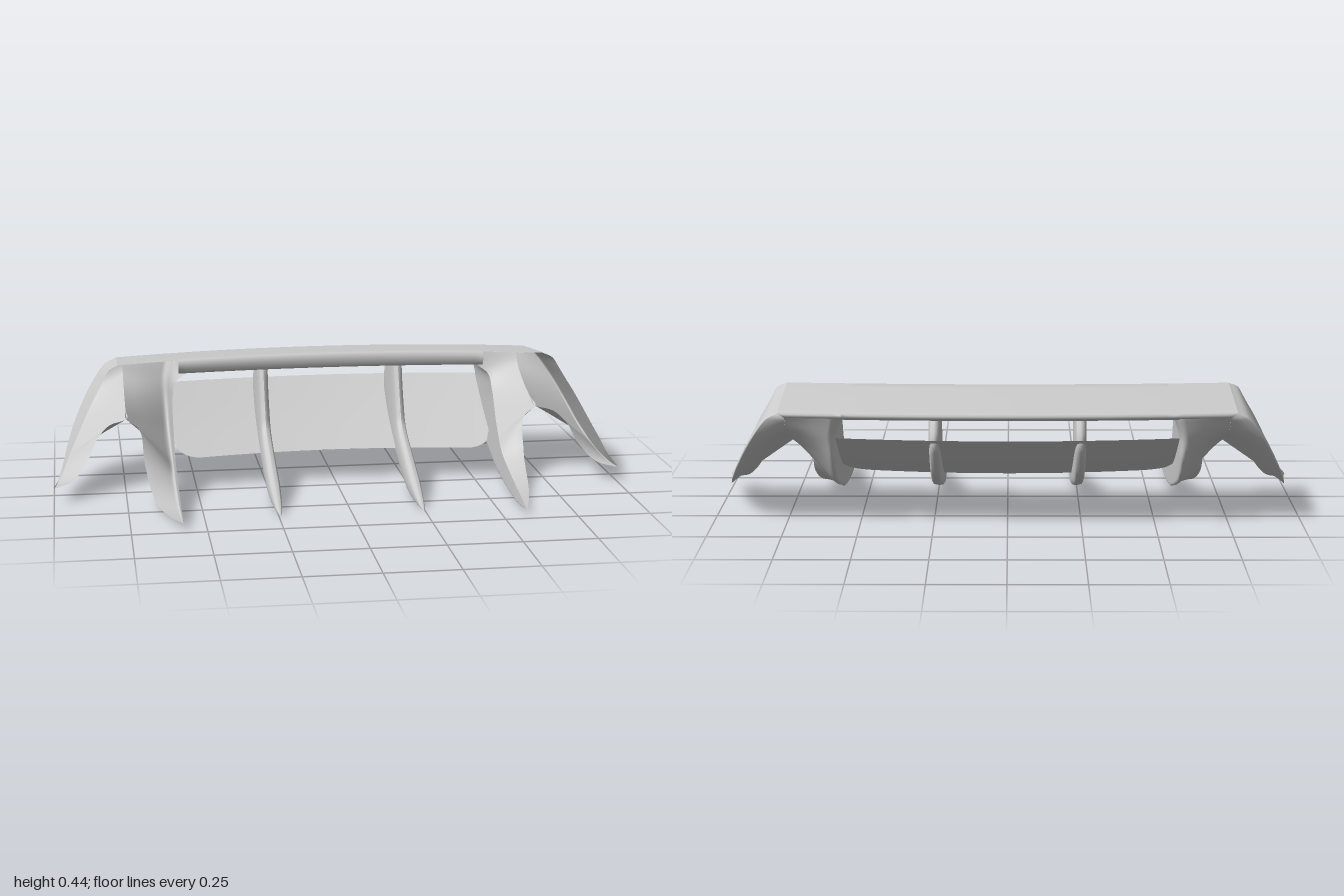
import * as THREE from 'three';

const material = new THREE.MeshStandardMaterial({ color: 0xcccccc, side: THREE.DoubleSide });
const curve = (pts) => new THREE.CatmullRomCurve3(pts.map((p) => new THREE.Vector3(...p)));
const steps = (n, f) => Array.from({ length: n + 1 }, (_, i) => f(i / n));

// Smooth sheet through cross-sections (arrays of Vector3 with equal length)
function loft(name, sections) {
  const cols = sections[0].length;
  const pos = sections.flat().flatMap((p) => [p.x, p.y, p.z]);
  const index = [];
  for (let i = 0; i < sections.length - 1; i++) {
    for (let j = 0; j < cols - 1; j++) {
      const a = i * cols + j, b = a + cols;
      index.push(a, b, a + 1, b, b + 1, a + 1);
    }
  }
  const geo = new THREE.BufferGeometry();
  geo.setAttribute('position', new THREE.Float32BufferAttribute(pos, 3));
  geo.setIndex(index);
  geo.computeVertexNormals();
  const mesh = new THREE.Mesh(geo, material);
  mesh.name = name;
  return mesh;
}

// Sheet folded along a corner curve, with a rounded fold
function foldedSkin(name, side, edgeA, corner, edgeB, r) {
  const [a, b, c] = [edgeA, corner, edgeB].map(curve);
  return loft(name, steps(60, (t) => {
    const A = a.getPoint(t), B = b.getPoint(t), C = c.getPoint(t);
    const start = A.clone().lerp(B, 1 - r), end = B.clone().lerp(C, r);
    const fold = new THREE.QuadraticBezierCurve3(start, B, end).getPoints(6);
    const row = [A, A.clone().lerp(start, 0.35), A.clone().lerp(start, 0.7), ...fold,
      end.clone().lerp(C, 0.35), end.clone().lerp(C, 0.7), C];
    row.forEach((p) => { p.x *= side; });
    return row;
  }));
}

// Blade profile at x: underside, rounded nose, top, rear lip
function bladeSection(x) {
  const k = (x / 0.79) ** 2;
  const zf = -0.155 + 0.07 * k, zr = -0.475 + 0.07 * k, drop = 0.008 * k;
  return [
    [zr + 0.02, 0.385], [zr + 0.15, 0.388], [zf - 0.035, 0.388], [zf - 0.01, 0.394], [zf, 0.411],
    [zf - 0.002, 0.433], [zf - 0.01, 0.445], [zf - 0.06, 0.441], [zf - 0.16, 0.428],
    [zr + 0.04, 0.413], [zr + 0.008, 0.409], [zr, 0.403], [zr + 0.004, 0.394], [zr + 0.02, 0.385],
  ].map(([z, y], i) => new THREE.Vector3(x, y - (i > 4 ? drop : 0), z));
}

// Ridge of the vault between inner fin and outer panel, from blade rear to arch
const ridge = [[0.74, 0.387, -0.42], [0.74, 0.335, -0.38], [0.74, 0.288, -0.28], [0.74, 0.257, -0.17],
  [0.74, 0.242, -0.095]];

export function createModel() {
  const model = new THREE.Group();
  model.name = 'rearDiffuser';

  // Hollow blade across the top
  model.add(loft('blade', steps(40, (t) => bladeSection(-0.55 + 1.1 * t))));

  for (const side of [1, -1]) {
    // Thin roof over each scoop
    model.add(loft('bladeEnd', steps(8, (t) => bladeSection(side * (0.55 + 0.215 * t)).slice(6))));

    // Inner fin: upright wall folding into the floor, which rises to the ridge
    model.add(foldedSkin('innerFin', side,
      [[0.53, 0.39, -0.13], [0.565, 0.365, -0.11], [0.576, 0.31, -0.085], [0.578, 0.26, -0.055], [0.578, 0.21, -0.02],
        [0.578, 0.17, 0.02], [0.578, 0.125, 0.075], [0.578, 0.085, 0.2], [0.578, 0.053, 0.34], [0.578, 0.025, 0.473]],
      [[0.56, 0.387, -0.435], [0.576, 0.31, -0.415], [0.576, 0.225, -0.395], [0.576, 0.143, -0.335], [0.576, 0.085, -0.2],
        [0.576, 0.058, -0.1], [0.576, 0.034, 0], [0.576, 0.01, 0.2], [0.576, 0.008, 0.35], [0.577, 0.023, 0.473]],
      [...ridge, [0.695, 0.205, -0.08], [0.682, 0.1, -0.02], [0.655, 0.016, 0.18], [0.614, 0.01, 0.35],
        [0.579, 0.024, 0.473]], 0.16));

    // Outer panel: sloping side folding under and up to the ridge
    model.add(foldedSkin('outerPanel', side,
      [[0.765, 0.437, -0.1], [0.797, 0.422, -0.087], [0.82, 0.385, -0.07], [0.843, 0.345, -0.055], [0.865, 0.308, -0.04],
        [0.885, 0.27, -0.022], [0.905, 0.23, -0.002], [0.925, 0.19, 0.018], [0.945, 0.15, 0.04],
        [0.968, 0.1, 0.075], [1.0, 0.057, 0.107]],
      [[0.765, 0.4, -0.41], [0.805, 0.38, -0.407], [0.865, 0.3, -0.38], [0.918, 0.2, -0.325], [0.946, 0.135, -0.265],
        [0.96, 0.1, -0.19], [0.967, 0.083, -0.145], [0.975, 0.068, -0.08], [0.982, 0.06, -0.03],
        [0.99, 0.056, 0.05], [0.997, 0.056, 0.103]],
      [[0.74, 0.387, -0.42], [0.74, 0.375, -0.414], ...ridge.slice(1), [0.8, 0.228, -0.072], [0.845, 0.188, -0.04],
        [0.877, 0.125, -0.005], [0.93, 0.067, 0.05], [0.992, 0.055, 0.1]], 0.08));

    // Slim fin under the blade, kinked at its front edge
    const upper = curve([[0, 0.395, -0.17], [0, 0.32, -0.14], [0, 0.25, -0.11], [0, 0.19, -0.075], [0, 0.12, 0.07],
      [0, 0.06, 0.22], [0, 0.005, 0.36]]);
    const lower = curve([[0, 0.392, -0.35], [0, 0.29, -0.4], [0, 0.2, -0.345], [0, 0.12, -0.24], [0, 0.06, -0.06],
      [0, 0.005, 0.16], [0, 0.001, 0.355]]);
    model.add(loft('slimFin', steps(36, (t) => {
      const U = upper.getPoint(t), L = lower.getPoint(t);
      const w = 0.022 * Math.sqrt(Math.min(1, (1 - t) * 5 + 0.02));
      return steps(24, (v) => {
        const a = v * Math.PI * 2, s = Math.sin(a);
        const p = U.clone().lerp(L, (1 - Math.cos(a)) / 2);
        p.x = side * 0.245 + w * Math.sign(s) * Math.sqrt(Math.abs(s));
        return p;
      });
    })));
  }

  // Sloping panel behind the fins, rounded at the lower corners
  model.add(loft('backPanel', steps(60, (t) => {
    const x = -0.575 + 1.15 * t, k = (x / 0.575) ** 2;
    const c = Math.max(0, Math.abs(x) - 0.475) / 0.1;
    const reach = 1 - 0.28 * (1 - Math.sqrt(Math.max(0, 1 - c * c)));
    return steps(12, (s) => {
      const v = s * reach;
      const z = -0.425 + 0.045 * k + (0.34 + 0.02 * k) * v;
      return new THREE.Vector3(x, 0.308 - 0.2 * v - 0.015 * Math.sin(Math.PI * v), z);
    });
  })));

  return model;
}
